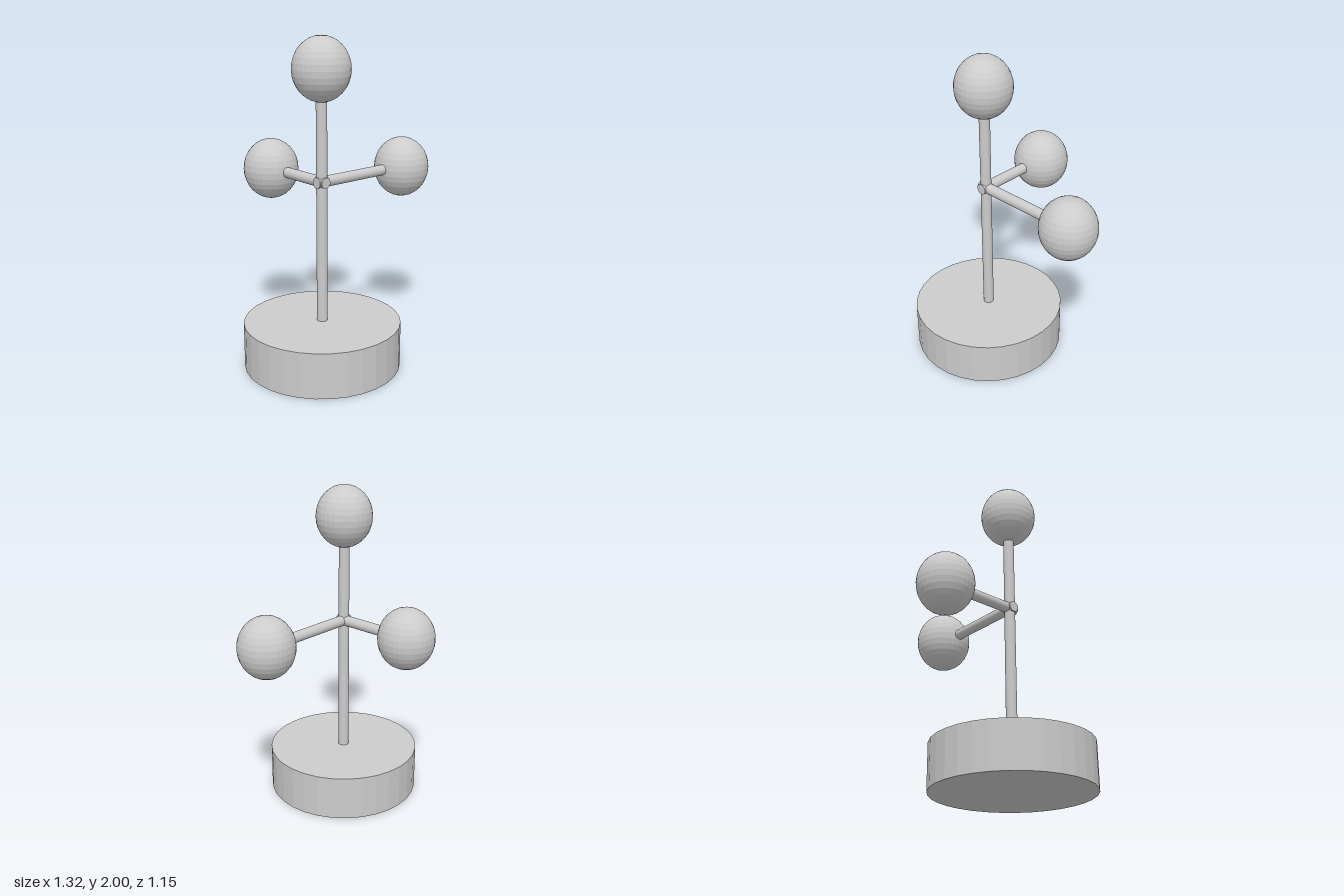
import * as THREE from 'three';

const CX = -0.18, CZ = 0.095;   // pole axis
const ARM_Y = 1.15, ROD_R = 0.033;

export function createModel() {
  const group = new THREE.Group();
  const material = new THREE.MeshStandardMaterial({ color: 0xcccccc, flatShading: true });

  const add = (name, geometry, x, y, z) => {
    const mesh = new THREE.Mesh(geometry, material);
    mesh.name = name;
    mesh.position.set(x, y, z);
    group.add(mesh);
    return mesh;
  };
  const rod = (name, length, x, y, z) =>
    add(name, new THREE.CylinderGeometry(ROD_R, ROD_R, length, 32), x, y, z);
  // Balls are slightly taller than wide
  const ball = (name, x, y, z) =>
    add(name, new THREE.SphereGeometry(0.173, 32, 16).scale(1, 0.19 / 0.173, 1), x, y, z);

  // Round base and upright pole
  add('base', new THREE.CylinderGeometry(0.48, 0.48, 0.28, 32), CX, 0.14, CZ);
  rod('pole', 1.5, CX, 0.95, CZ);

  // Arms start just past the pole and end inside their balls
  const armLength = 0.57, armMid = armLength / 2 - 0.04;
  rod('leftArm', armLength, CX + armMid, ARM_Y, CZ).rotation.z = Math.PI / 2;
  rod('backArm', armLength - 0.15, CX, ARM_Y, CZ - armMid + 0.075).rotation.x = Math.PI / 2;

  ball('topBall', CX, 1.81, CZ);
  ball('leftBall', 0.483, ARM_Y, CZ);
  ball('backBall', CX, ARM_Y, -0.403);

  return group;
}
